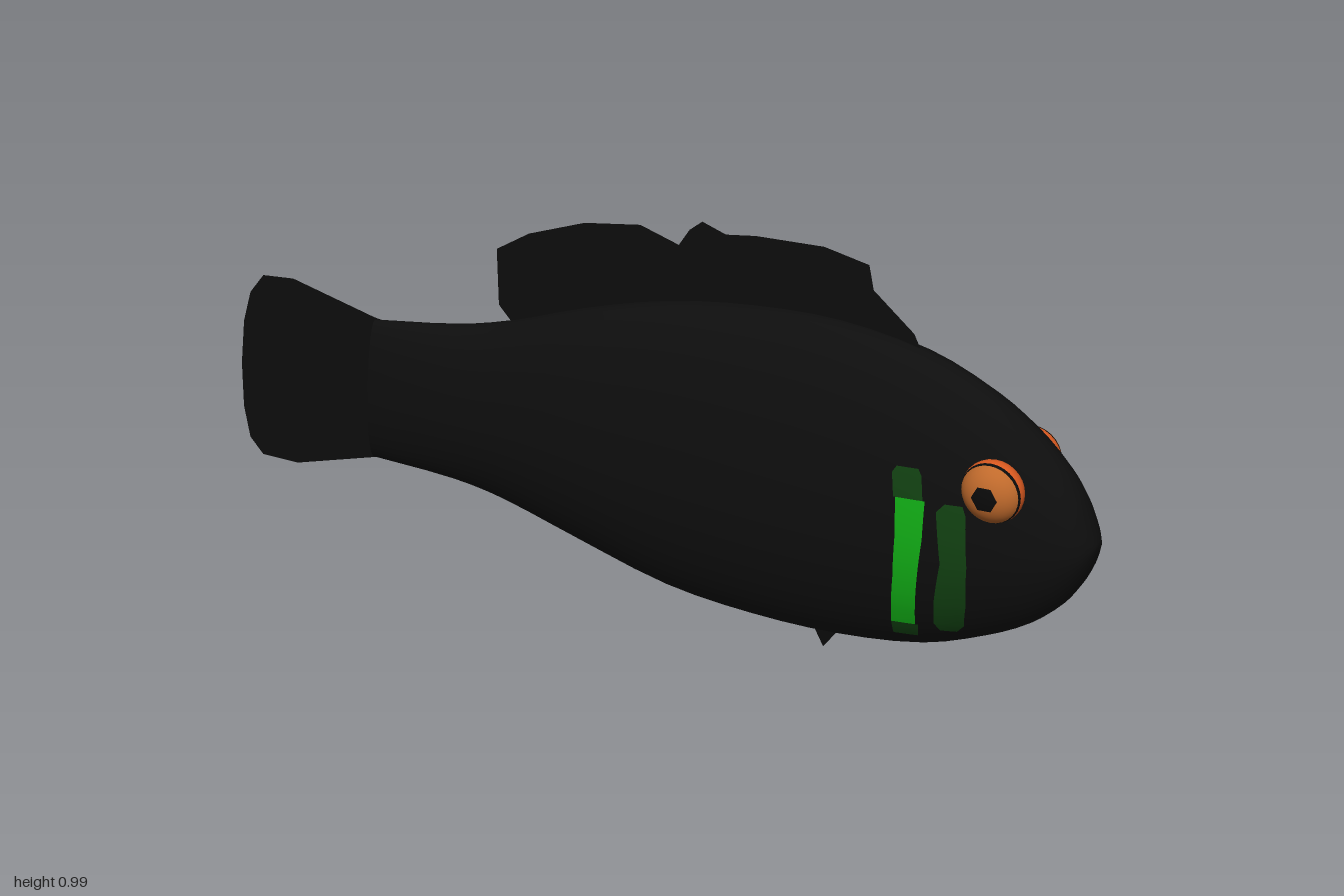
import * as THREE from 'three';

const CZ = 0.068; // z of the body's symmetry plane
const mat = (name, color, side = THREE.FrontSide) => {
  const m = new THREE.MeshStandardMaterial({ color, side });
  m.name = name;
  return m;
};

// Body sections: x, top, bottom, half width
const SECTIONS = [
  [-0.69, 0.61, 0.29, 0.038], [-0.5, 0.635, 0.275, 0.062], [-0.38, 0.665, 0.25, 0.077],
  [-0.2, 0.73, 0.19, 0.101], [0, 0.785, 0.125, 0.118], [0.2, 0.812, 0.095, 0.129],
  [0.4, 0.815, 0.086, 0.132], [0.6, 0.78, 0.102, 0.128], [0.75, 0.715, 0.148, 0.117],
  [0.85, 0.645, 0.195, 0.103], [0.92, 0.575, 0.25, 0.084], [0.96, 0.515, 0.3, 0.066],
  [0.985, 0.455, 0.345, 0.045], [1, 0.41, 0.39, 0.018],
];

// Smooth (Hermite) interpolation of the sections at x
function section(x) {
  const S = SECTIONS, n = S.length;
  let i = 0;
  while (i < n - 2 && x > S[i + 1][0]) i++;
  const h = S[i + 1][0] - S[i][0], t = (x - S[i][0]) / h;
  const slope = (k, c) => {
    const a = S[Math.max(k - 1, 0)], b = S[Math.min(k + 1, n - 1)];
    return (b[c] - a[c]) / (b[0] - a[0]);
  };
  const f = (c) => (2 * t ** 3 - 3 * t * t + 1) * S[i][c] + (t ** 3 - 2 * t * t + t) * h * slope(i, c)
    + (3 * t * t - 2 * t ** 3) * S[i + 1][c] + (t ** 3 - t * t) * h * slope(i + 1, c);
  const top = f(1), bot = f(2), w = f(3);
  return { top, bot, w, mid: bot + 0.43 * (top - bot) };
}

// Half width of the body surface at (x, y)
function surface(x, y) {
  const s = section(x);
  const t = (y - s.mid) / (y > s.mid ? s.top - s.mid : s.mid - s.bot);
  return s.w * Math.sqrt(Math.max(0, 1 - t * t));
}

function buffer(pos, idx) {
  const g = new THREE.BufferGeometry();
  g.setAttribute('position', new THREE.Float32BufferAttribute(pos, 3));
  g.setIndex(idx);
  g.computeVertexNormals();
  return g;
}

// Body lofted from the sections
function bodyGeometry() {
  const pos = [], idx = [], N = 36, xs = [];
  SECTIONS.forEach((s, i) => {
    xs.push(s[0]);
    if (i < SECTIONS.length - 1) for (const k of [1, 2]) xs.push(s[0] + (SECTIONS[i + 1][0] - s[0]) * k / 3);
  });
  xs.forEach((x, i) => {
    const s = section(x);
    for (let j = 0; j < N; j++) {
      const a = j / N * Math.PI * 2, sn = Math.sin(a);
      pos.push(x, s.mid + sn * (sn > 0 ? s.top - s.mid : s.mid - s.bot), CZ + s.w * Math.cos(a));
      if (i < xs.length - 1) {
        const k = (j + 1) % N, p = i * N, q = p + N;
        idx.push(p + j, q + j, p + k, q + j, q + k, p + k);
      }
    }
  });
  const tip = pos.length / 3, last = (xs.length - 1) * N;
  pos.push(1, 0.4, CZ);
  for (let j = 0; j < N; j++) idx.push(tip, last + (j + 1) % N, last + j);
  return buffer(pos, idx);
}

// Patch lying on the flank; rows are [y, xBack, xFront] from bottom to top
function patchGeometry(rows, side) {
  const pos = [], idx = [], C = 4, SUB = 4, total = (rows.length - 1) * SUB;
  for (let r = 0; r <= total; r++) {
    const i = Math.min(Math.floor(r / SUB), rows.length - 2), t = r / SUB - i;
    const [y, a, b] = rows[i].map((v, k) => v + (rows[i + 1][k] - v) * t);
    for (let c = 0; c <= C; c++) {
      const x = a + (b - a) * c / C;
      pos.push(x, y, CZ + side * (surface(x, y) + 0.004));
      if (r < total && c < C) {
        const p = r * (C + 1) + c, q = p + C + 1;
        if (side > 0) idx.push(p, p + 1, q, p + 1, q + 1, q);
        else idx.push(p, q, p + 1, p + 1, q, q + 1);
      }
    }
  }
  return buffer(pos, idx);
}

const flat = (pts) => new THREE.ShapeGeometry(new THREE.Shape(pts.map((p) => new THREE.Vector2(...p))));

// Side fin outlined in (z, y), swept backwards as it leaves the body
function sweptFin(pts) {
  const g = flat(pts), p = g.attributes.position;
  for (let i = 0; i < p.count; i++) {
    const z = p.getX(i);
    p.setXYZ(i, 0.52 + (z + 0.07) * 1.53, p.getY(i), z);
  }
  g.computeVertexNormals();
  return g;
}

export function createModel() {
  const D = THREE.DoubleSide;
  const black = mat('body black', 0x0e0e0e);
  const finBlack = mat('fin black', 0x0d0d0d, D);
  const blue = mat('fin navy', 0x0b0b30, D);
  const bright = mat('bright green', 0x12b016, D);
  const dark = mat('dark green', 0x124212, D);
  const orange = mat('eye orange', 0xdc5a20);
  const amber = mat('eye amber', 0xc06a2c);
  const pupilBlack = mat('pupil black', 0x0a0a0a);

  const model = new THREE.Group();
  const add = (name, geo, m, parent = model) => {
    const mesh = new THREE.Mesh(geo, m);
    mesh.name = name;
    parent.add(mesh);
    return mesh;
  };

  // Body and its closed rear end
  add('body', bodyGeometry(), black);
  const rear = add('bodyRearCap', new THREE.CircleGeometry(1, 24), black);
  rear.rotation.y = -Math.PI / 2;
  rear.scale.set(0.038, 0.16, 1);
  rear.position.set(-0.69, 0.45, CZ);

  // Fins on the centre plane
  add('dorsalFin', flat([
    [-0.34, 0.65], [-0.37, 0.665], [-0.4, 0.7], [-0.405, 0.83], [-0.33, 0.88], [-0.2, 0.93], [-0.07, 0.95],
    [0.02, 0.92], [0.045, 0.96], [0.075, 0.985], [0.13, 0.965], [0.2, 0.975], [0.36, 0.98], [0.465, 0.957],
    [0.475, 0.9], [0.57, 0.815], [0.59, 0.77], [0.4, 0.75], [0, 0.72],
  ]), finBlack).position.z = CZ;
  add('tailFin', flat([
    [-0.6, 0.6], [-0.69, 0.615], [-0.88, 0.67], [-0.95, 0.665], [-0.98, 0.62], [-0.995, 0.55], [-1, 0.45],
    [-0.995, 0.35], [-0.98, 0.28], [-0.95, 0.245], [-0.87, 0.24], [-0.68, 0.29], [-0.6, 0.3],
  ]), finBlack).position.z = CZ;

  // Pectoral fin: dark root and navy blade
  add('pectoralFinRoot', sweptFin([
    [-0.05, 0.448], [-0.1, 0.455], [-0.1, 0.325], [-0.05, 0.36],
  ]), finBlack);
  add('pectoralFin', sweptFin([
    [-0.1, 0.455], [-0.14, 0.462], [-0.18, 0.43], [-0.21, 0.37], [-0.218, 0.32], [-0.205, 0.28],
    [-0.18, 0.258], [-0.14, 0.262], [-0.125, 0.3], [-0.1, 0.325],
  ]), blue);

  // Pelvic fin under the belly
  add('pelvicFin', buffer(
    [0.32, 0.12, 0.014, 0.305, 0.06, 0.008, 0.32, 0, -0.014, 0.4, 0.1, 0.002],
    [0, 1, 3, 1, 2, 3],
  ), finBlack);

  for (const side of [1, -1]) {
    const prefix = side > 0 ? 'left' : 'right';

    // Gill stripes
    add(prefix + 'StripeBottom', patchGeometry([[0.145, 0.555, 0.61], [0.18, 0.558, 0.618]], side), dark);
    add(prefix + 'StripeBright', patchGeometry([
      [0.18, 0.558, 0.612], [0.3, 0.575, 0.63], [0.4, 0.583, 0.645], [0.49, 0.583, 0.65],
    ], side), bright);
    add(prefix + 'StripeTop', patchGeometry([
      [0.49, 0.578, 0.645], [0.545, 0.573, 0.64], [0.56, 0.583, 0.632],
    ], side), dark);
    add(prefix + 'FrontStripe', patchGeometry([
      [0.17, 0.665, 0.7], [0.19, 0.655, 0.72], [0.25, 0.664, 0.735], [0.35, 0.685, 0.745],
      [0.47, 0.676, 0.742], [0.49, 0.695, 0.735],
    ], side), dark);

    // Eye: bands of a flattened ball, poles pointing outwards
    const eye = new THREE.Group();
    eye.name = prefix + 'Eye';
    const band = (name, from, to, m, seg = 28, r = 1) => {
      const g = new THREE.SphereGeometry(r, seg, 12, 0, Math.PI * 2, from, to - from);
      add(name, g.rotateX(side * Math.PI / 2), m, eye);
    };
    band('eyeInner', 1.36, Math.PI, orange);
    band('eyeRing', 1.22, 1.36, pupilBlack);
    band('eyeOuter', 0, 1.22, amber);
    band('pupil', 0, 0.43, pupilBlack, 6, 1.03);
    eye.scale.set(0.071, 0.071, 0.052);
    eye.position.set(0.797, 0.53, CZ + side * 0.096);
    model.add(eye);
  }
  return model;
}
